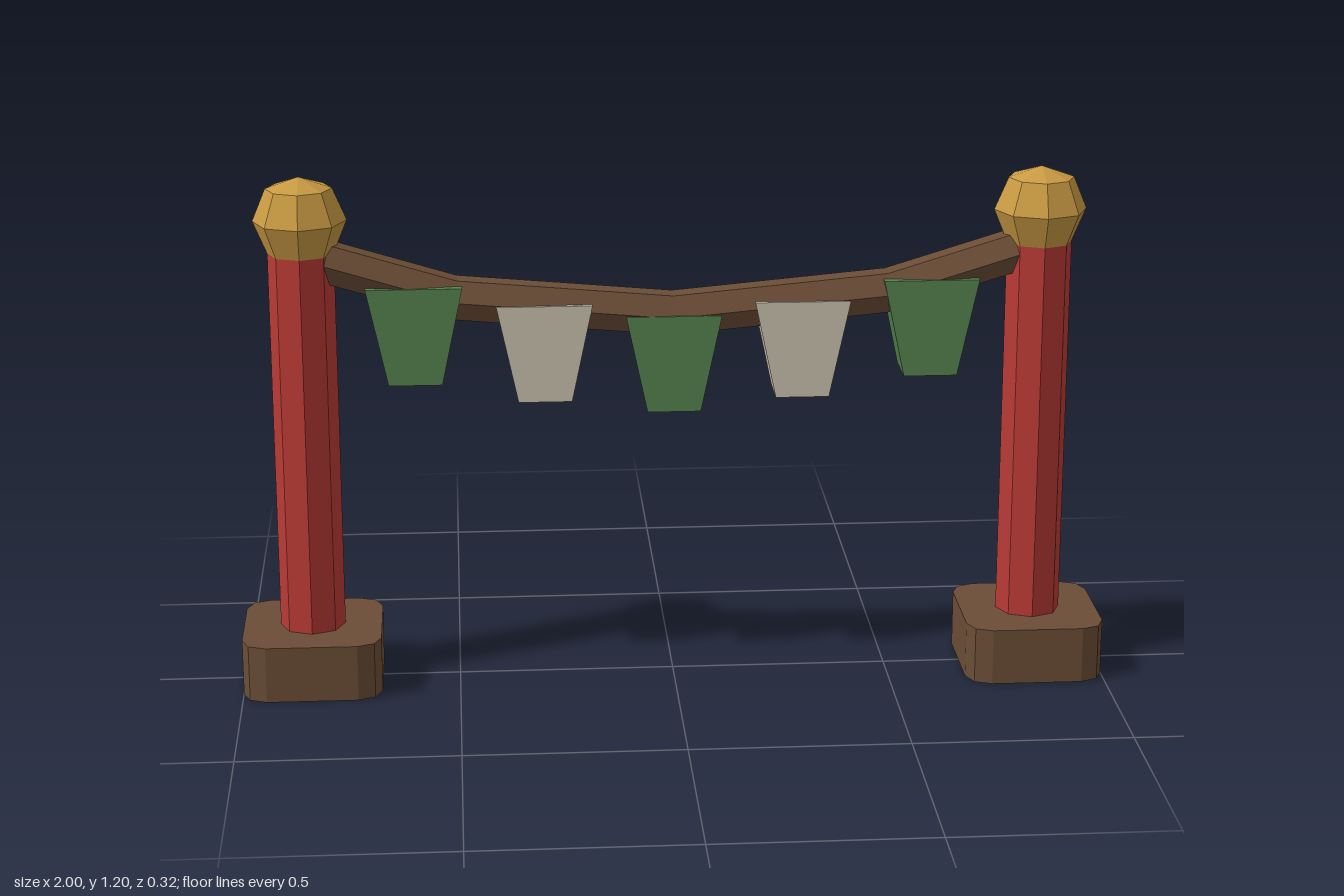
import * as THREE from 'three';

const paint = (name, color) => {
  const m = new THREE.MeshStandardMaterial({ color });
  m.name = name;
  return m;
};

// Unshared corners give crisp low-poly facets
function faceted(geometry) {
  const g = geometry.index ? geometry.toNonIndexed() : geometry;
  g.computeVertexNormals();
  return g;
}

// Square plinth with two-step rounded corners
function plinthGeometry(half, radius, height) {
  const pts = [];
  const c = half - radius;
  [[1, 1], [-1, 1], [-1, -1], [1, -1]].forEach(([sx, sy], i) => {
    for (let k = 0; k <= 2; k++) {
      const a = (i + k / 2) * Math.PI / 2;
      pts.push(new THREE.Vector2(sx * c + radius * Math.cos(a), sy * c + radius * Math.sin(a)));
    }
  });
  const g = new THREE.ExtrudeGeometry(new THREE.Shape(pts), { depth: height, bevelEnabled: false });
  return g.rotateX(-Math.PI / 2);
}

// Six-sided beam swept along the sagging line, sections kept upright
function beamGeometry(path, radius) {
  const sides = 6, pos = [], index = [];
  for (const [x, y] of path) {
    for (let j = 0; j < sides; j++) {
      const a = j / sides * Math.PI * 2;
      pos.push(x, y + radius * Math.sin(a), radius * Math.cos(a));
    }
  }
  for (let i = 0; i < path.length - 1; i++) {
    for (let j = 0; j < sides; j++) {
      const a = i * sides + j, b = i * sides + (j + 1) % sides;
      index.push(a, a + sides, b, b, a + sides, b + sides);
    }
  }
  const last = (path.length - 1) * sides;
  for (let j = 1; j < sides - 1; j++) {
    index.push(0, j, j + 1, last, last + j + 1, last + j);
  }
  const g = new THREE.BufferGeometry();
  g.setAttribute('position', new THREE.Float32BufferAttribute(pos, 3));
  g.setIndex(index);
  return g;
}

// Thick pennant, narrower at the bottom
function pennantGeometry(top, bottom, height, depth) {
  const shape = new THREE.Shape([
    new THREE.Vector2(-bottom, -height), new THREE.Vector2(bottom, -height),
    new THREE.Vector2(top, 0), new THREE.Vector2(-top, 0),
  ]);
  return new THREE.ExtrudeGeometry(shape, { depth, bevelEnabled: false }).translate(0, 0, -depth / 2);
}

export function createModel() {
  const red = paint('red paint', 0xb83a35);
  const gold = paint('gold', 0xc99a42);
  const wood = paint('brown wood', 0x6b4d36);
  const green = paint('green cloth', 0x568350);
  const cream = paint('cream cloth', 0xcbc2b0);

  const model = new THREE.Group();
  model.name = 'pennantGate';
  const add = (parent, name, geometry, material, x = 0, y = 0) => {
    const mesh = new THREE.Mesh(faceted(geometry), material);
    mesh.name = name;
    mesh.position.set(x, y, 0);
    parent.add(mesh);
  };

  // Posts with plinth and faceted finial
  const finial = [[0, 0.995], [0.075, 1.022], [0.106, 1.097], [0.075, 1.171], [0, 1.197]]
    .map(([r, y]) => new THREE.Vector2(r, y));
  for (const side of [-1, 1]) {
    const post = new THREE.Group();
    post.name = side > 0 ? 'leftPost' : 'rightPost';
    post.position.x = side * 0.84;
    add(post, 'plinth', plinthGeometry(0.16, 0.055, 0.132), wood);
    add(post, 'shaft', new THREE.CylinderGeometry(0.075, 0.075, 0.93, 8), red, 0, 0.565);
    add(post, 'finial', new THREE.LatheGeometry(finial, 8), gold);
    model.add(post);
  }

  // Sagging beam between the posts
  const path = [[-0.84, 1.018], [-0.49, 0.911], [0, 0.867], [0.49, 0.911], [0.84, 1.018]];
  add(model, 'beam', beamGeometry(path, 0.053), wood);

  // Row of pennants in alternating colours
  const tops = [0.872, 0.901, 0.946];
  for (let i = -2; i <= 2; i++) {
    add(model, 'pennant' + (i + 3), pennantGeometry(0.109, 0.061, 0.225, 0.111),
      i % 2 ? cream : green, i * 0.294, tops[Math.abs(i)]);
  }
  return model;
}
